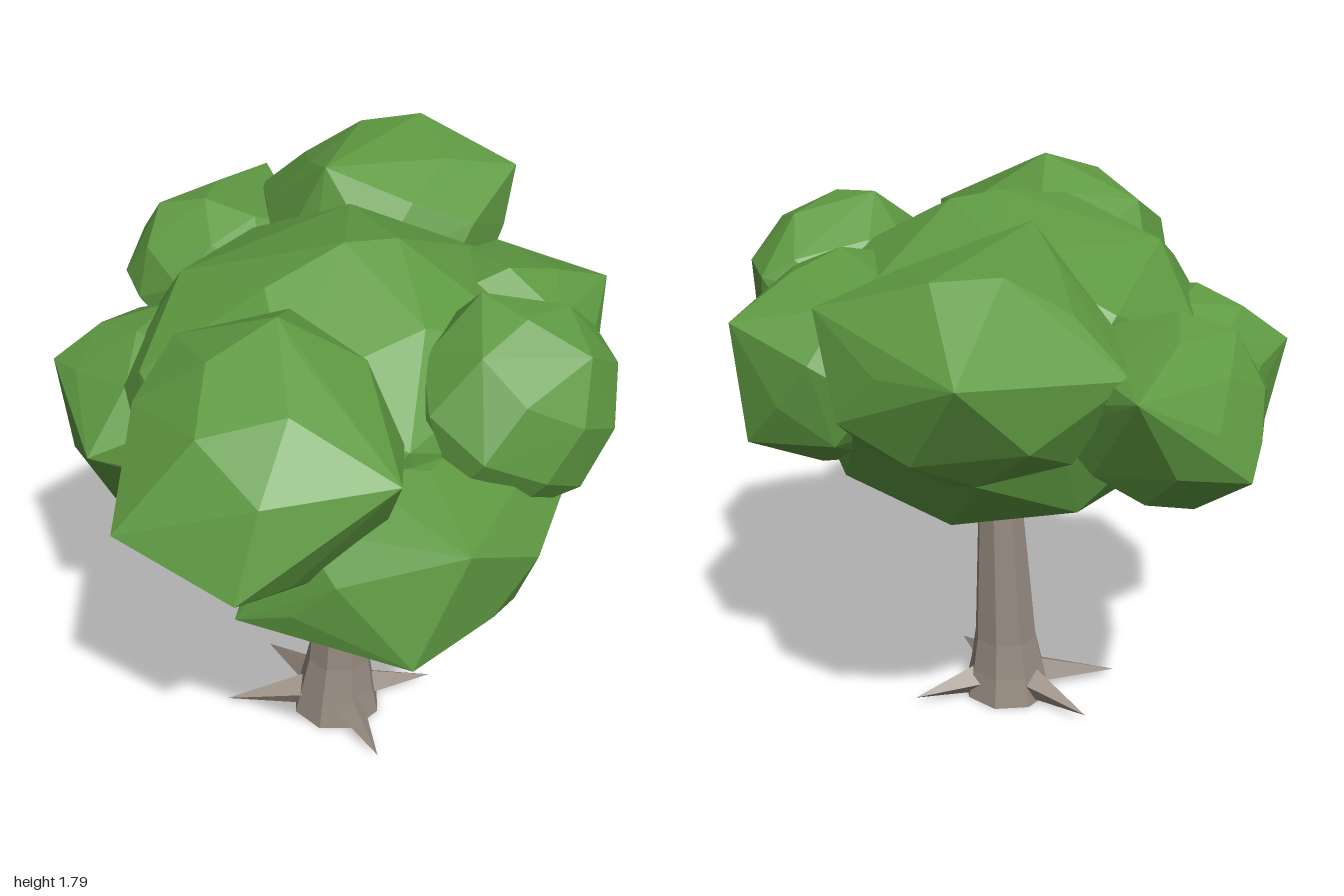
import * as THREE from 'three';
import { ConvexGeometry } from 'three/addons/geometries/ConvexGeometry.js';

// Small seeded generator for the irregular facets
function seeded(seed) {
  let s = seed * 7919 + 17;
  return () => (s = (s * 16807) % 2147483647) / 2147483647;
}

// Faceted leaf clump: the hull of a roughened ellipsoid and a few prominent corners
function leafClump(name, material, centre, radii, corners, seed) {
  const rand = seeded(seed);
  const c = new THREE.Vector3(...centre), r = new THREE.Vector3(...radii);
  const points = corners.map((p) => new THREE.Vector3(...p));
  const count = 34, turn = rand() * 6;
  for (let i = 0; i < count; i++) {
    // evenly spiralled directions
    const y = 1 - (2 * i + 1) / count, ring = Math.sqrt(1 - y * y), a = turn + i * 2.39996;
    const size = 0.94 + 0.1 * rand();
    points.push(new THREE.Vector3(ring * Math.cos(a), y, ring * Math.sin(a)).multiplyScalar(size).multiply(r).add(c));
  }
  const mesh = new THREE.Mesh(new ConvexGeometry(points), material);
  mesh.name = name;
  return mesh;
}

// Eight-sided trunk, flared at the foot and leaning slightly
function trunkGeometry() {
  // height, radius, centre x
  const rings = [[0.85, 0.072, 0.008], [0.7, 0.076, 0.005], [0.22, 0.106, -0.012], [0.1, 0.128, -0.018], [0, 0.15, -0.02]];
  const steps = rings.length - 1;
  const geo = new THREE.CylinderGeometry(1, 1, 1, 8, steps, true);
  const pos = geo.attributes.position;
  for (let i = 0; i < pos.count; i++) {
    const [y, r, x] = rings[Math.round((0.5 - pos.getY(i)) * steps)];
    pos.setXYZ(i, x + pos.getX(i) * r, y, 0.1 + pos.getZ(i) * r);
  }
  geo.computeVertexNormals();
  return geo;
}

export function createModel() {
  const leaf = new THREE.MeshStandardMaterial({ color: 0x5f9a42, flatShading: true });
  leaf.name = 'leafGreen';
  const bark = new THREE.MeshStandardMaterial({ color: 0x968a7f, flatShading: true, side: THREE.DoubleSide });
  bark.name = 'barkBrown';

  const tree = new THREE.Group();
  tree.name = 'tree';

  const trunk = new THREE.Mesh(trunkGeometry(), bark);
  trunk.name = 'trunk';
  tree.add(trunk);

  // Four pointed roots, given by the x and z of their tips
  const roots = new THREE.Group();
  roots.name = 'roots';
  for (const [x, z] of [[0.31, 0.14], [-0.01, 0.42], [-0.37, -0.02], [-0.14, -0.22]]) {
    const tip = new THREE.Vector3(x, 0.03, z);
    const base = new THREE.Vector3(-0.02, 0.07, 0.1).lerp(tip, 0.25);
    const dir = tip.clone().sub(base);
    const length = dir.length();
    const geo = new THREE.ConeGeometry(0.058, length, 4);
    geo.translate(0, length / 2, 0);
    const root = new THREE.Mesh(geo, bark);
    root.position.copy(base);
    root.quaternion.setFromUnitVectors(new THREE.Vector3(0, 1, 0), dir.normalize());
    root.name = 'root';
    roots.add(root);
  }
  tree.add(roots);

  // Crown: name, centre, radii, then the most prominent corners
  const crown = new THREE.Group();
  crown.name = 'crown';
  const clumps = [
    ['mainClump', [0, 1.25, 0.06], [0.69, 0.5, 0.63],
      [[0, 1.76, 0.1], [0, 0.7, 0.1], [-0.34, 0.78, 0.1]]],
    ['frontRightClump', [-0.38, 1.36, 0.42], [0.38, 0.37, 0.45],
      [[-0.86, 1.33, 0.58], [-0.32, 1.76, 0.4], [-0.63, 1.24, 0.87], [-0.18, 1.5, 0.89]]],
    ['frontClump', [-0.04, 1.08, 0.61], [0.44, 0.3, 0.35],
      [[-0.18, 0.96, 0.99], [-0.02, 1.29, 0.98], [-0.54, 0.95, 0.6], [0.44, 1.15, 0.66]]],
    ['frontLeftClump', [0.33, 1.37, 0.49], [0.33, 0.32, 0.3],
      [[0.27, 1.71, 0.42], [0.66, 1.5, 0.4]]],
    ['leftClump', [0.5, 1.32, 0.12], [0.32, 0.32, 0.35],
      [[0.86, 1.48, 0.13], [0.83, 1.1, 0.13], [0.6, 0.99, 0.12]]],
    ['backLeftClump', [0.38, 1.46, -0.46], [0.4, 0.33, 0.38],
      [[0.62, 1.58, -0.84], [0.1, 1.5, -0.82], [0.78, 1.66, -0.33], [0.11, 1.79, -0.3], [0.56, 1.77, -0.58]]],
    ['backClump', [-0.1, 1.33, -0.67], [0.31, 0.26, 0.3],
      [[-0.17, 1.22, -1], [0.17, 1.5, -0.96], [-0.41, 1.3, -0.6], [-0.1, 1.09, -0.84]]],
    ['backRightClump', [-0.48, 1.18, -0.17], [0.29, 0.29, 0.32],
      [[-0.76, 1.3, -0.35], [-0.66, 0.88, -0.15], [-0.78, 1.2, 0.05]]],
  ];
  clumps.forEach(([name, centre, radii, corners], i) => crown.add(leafClump(name, leaf, centre, radii, corners, i + 1)));
  tree.add(crown);

  return tree;
}
